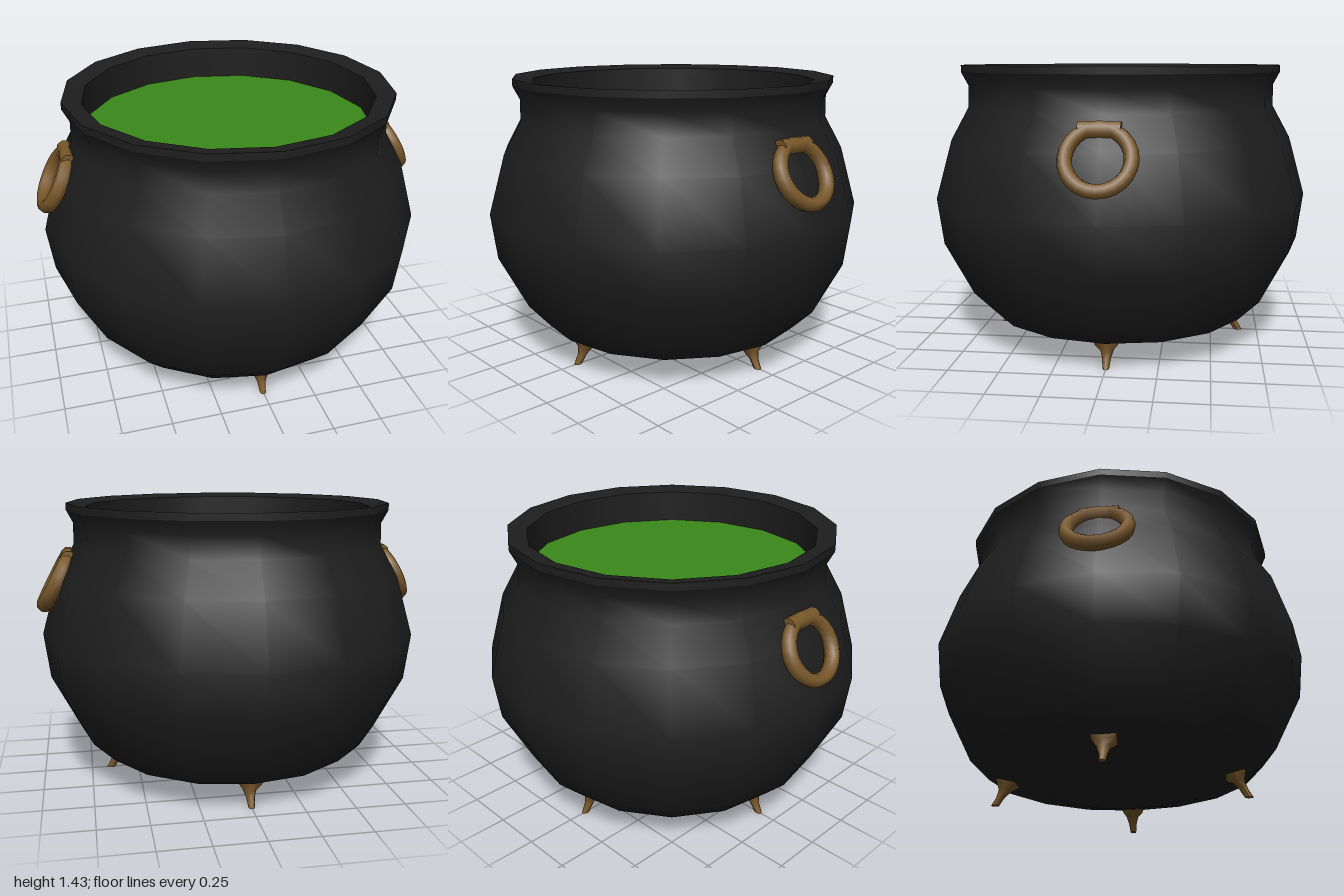
import * as THREE from 'three';

const iron = new THREE.MeshStandardMaterial({ color: 0x1e1e1e });
iron.name = 'black iron';
const brass = new THREE.MeshStandardMaterial({ color: 0x78572a });
brass.name = 'aged brass';
const brew = new THREE.MeshStandardMaterial({ color: 0x3a8a1a });
brew.name = 'green brew';

const SIDES = 16;

function add(parent, name, geometry, material) {
  const mesh = new THREE.Mesh(geometry, material);
  mesh.name = name;
  parent.add(mesh);
  return mesh;
}

// Revolved surface from [radius, height] pairs
function lathe(profile) {
  return new THREE.LatheGeometry(profile.map(([r, y]) => new THREE.Vector2(r, y)), SIDES);
}

// Clawed foot: a squared top tapering to a round tip, bent outward along +x
function footGeometry() {
  // [centre x, y, half depth x, half width z, squareness], from tip to top
  const rings = [
    [0.648, 0.0, 0.022, 0.016, 0],
    [0.622, 0.045, 0.023, 0.022, 0],
    [0.6, 0.08, 0.032, 0.034, 0.4],
    [0.582, 0.112, 0.053, 0.055, 1],
    [0.582, 0.13, 0.055, 0.06, 1],
  ];
  const g = new THREE.CylinderGeometry(1, 1, 4, 8, 4);
  const p = g.attributes.position;
  for (let i = 0; i < p.count; i++) {
    const x = p.getX(i), z = p.getZ(i);
    const [cx, y, hx, hz, square] = rings[Math.round(p.getY(i) + 2)];
    const toSquare = 1 / Math.max(Math.abs(x), Math.abs(z), 0.5);
    const k = 1 + (toSquare - 1) * square;
    p.setXYZ(i, cx + x * k * hx, y, z * k * hz);
  }
  g.computeVertexNormals();
  return g;
}

export function createModel() {
  const model = new THREE.Group();
  model.name = 'cauldron';

  // Round belly and pinched neck
  add(model, 'belly', lathe([
    [0, 0.083], [0.44, 0.083], [0.69, 0.14], [0.8, 0.248], [0.945, 0.527],
    [0.975, 0.763], [0.89, 1.063], [0.8, 1.225], [0.798, 1.335], [0.832, 1.4],
  ]), iron);

  // Rim sloping gently inward, and the inner wall
  const rim = new THREE.Group();
  rim.name = 'rim';
  model.add(rim);
  add(rim, 'rimEdge', lathe([[0.832, 1.4], [0.832, 1.435]]), iron);
  add(rim, 'rimTop', lathe([[0.832, 1.435], [0.736, 1.416]]), iron);
  add(rim, 'innerWall', lathe([[0.736, 1.416], [0.736, 1.24]]), iron);

  // Liquid surface
  const liquid = add(model, 'liquid', new THREE.CircleGeometry(0.736, SIDES), brew);
  liquid.rotation.x = -Math.PI / 2;
  liquid.position.y = 1.248;

  // Hanging ring handles on both sides, slightly thicker across than in their plane
  const ringGeometry = new THREE.TorusGeometry(0.146, 0.034, 8, 24)
    .scale(1, 1, 1.15).rotateY(Math.PI / 2);
  const barGeometry = new THREE.CylinderGeometry(0.039, 0.039, 0.19, 8).rotateX(Math.PI / 2);
  for (const side of [1, -1]) {
    const handle = new THREE.Group();
    handle.name = side > 0 ? 'leftHandle' : 'rightHandle';
    handle.position.set(side * 0.895, 1.042, 0);
    handle.rotation.z = side * 0.49;
    add(handle, 'ring', ringGeometry, brass);
    add(handle, 'hingeBar', barGeometry, brass).position.y = 0.138;
    model.add(handle);
  }

  // Four feet, one on each axis
  const foot = footGeometry();
  ['leftFoot', 'backFoot', 'rightFoot', 'frontFoot'].forEach((name, i) => {
    add(model, name, foot, brass).rotation.y = i * Math.PI / 2;
  });

  return model;
}
